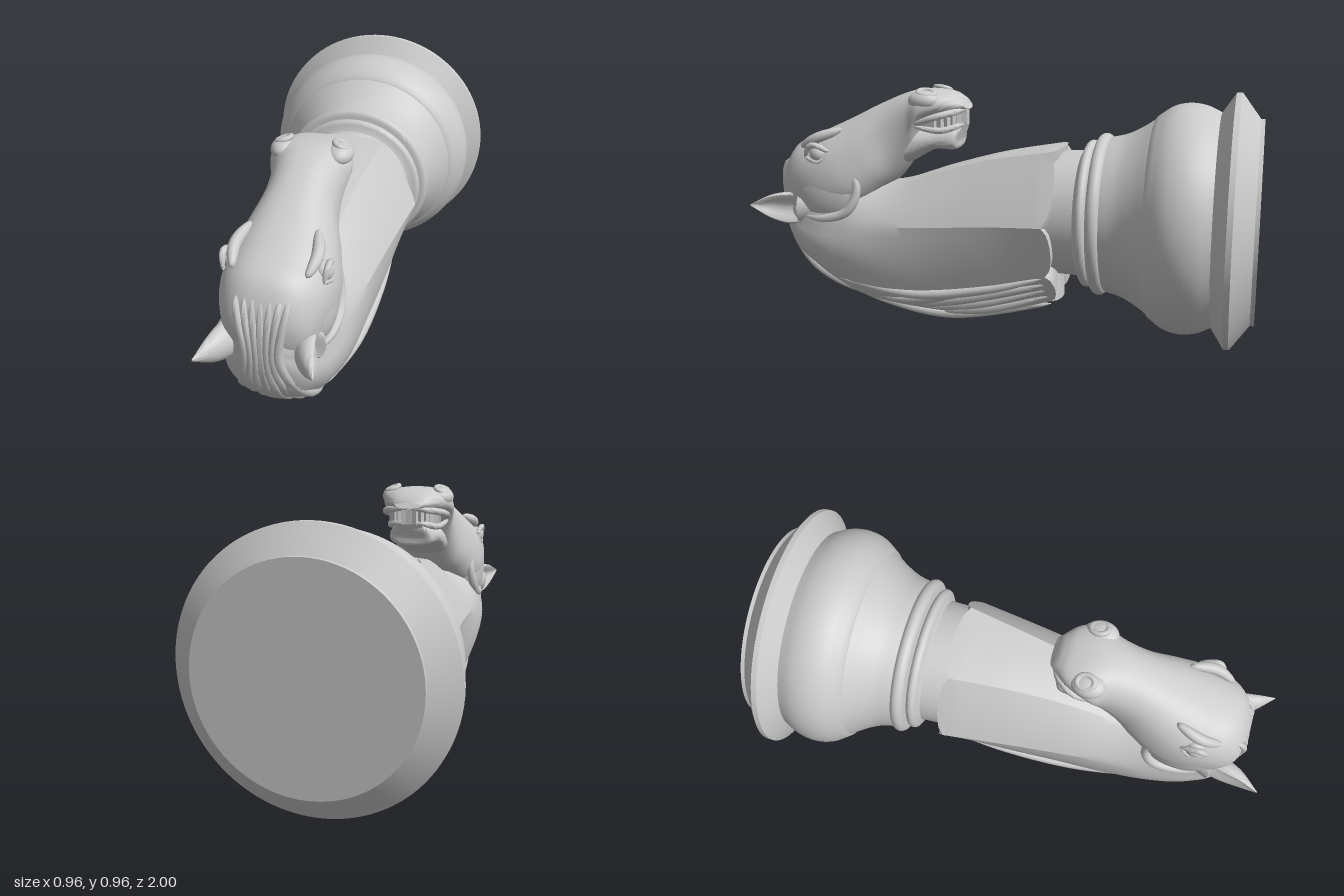
import * as THREE from 'three';
import { toCreasedNormals } from 'three/addons/utils/BufferGeometryUtils.js';

const grey = new THREE.MeshStandardMaterial({ color: 0xcccccc });
const V = (x, y, z) => new THREE.Vector3(x, y, z);

function add(group, name, geometry) {
  const mesh = new THREE.Mesh(geometry, grey);
  mesh.name = name;
  group.add(mesh);
  return mesh;
}

// Smooth interpolation of rows [t, a, b, c...]
function track(rows) {
  const f = new THREE.CubicInterpolant(rows.map(r => r[0]), rows.flatMap(r => r.slice(1)), rows[0].length - 1);
  return t => Array.from(f.evaluate(t));
}

// Closed skin over equal-sized rings, capped at both ends and turned outward
function loft(rings, crease = 0.6) {
  const n = rings[0].length, m = rings.length, pts = rings.flat(), index = [];
  for (let i = 0; i < m - 1; i++) for (let j = 0; j < n; j++) {
    const a = i * n + j, b = i * n + (j + 1) % n;
    index.push(a, b, b + n, a, b + n, a + n);
  }
  for (const [k, flip] of [[0, true], [m - 1, false]]) {
    const centre = V(0, 0, 0);
    rings[k].forEach(p => centre.addScaledVector(p, 1 / n));
    pts.push(centre);
    for (let j = 0; j < n; j++) {
      const a = k * n + j, b = k * n + (j + 1) % n;
      index.push(...(flip ? [b, a] : [a, b]), pts.length - 1);
    }
  }
  let volume = 0;
  for (let i = 0; i < index.length; i += 3)
    volume += pts[index[i]].dot(pts[index[i + 1]].clone().cross(pts[index[i + 2]]));
  if (volume < 0) index.reverse();
  const g = new THREE.BufferGeometry().setFromPoints(pts);
  g.setIndex(index);
  return toCreasedNormals(g, crease);
}

// Rounded strand tapering at both ends
function strand(points, radius, steps = 28) {
  const curve = new THREE.CatmullRomCurve3(points);
  const { normals, binormals } = curve.computeFrenetFrames(steps, false);
  const rings = [];
  for (let i = 0; i <= steps; i++) {
    const u = i / steps, r = radius * Math.max(0.04, Math.pow(Math.sin(Math.PI * u), 0.4));
    const c = curve.getPointAt(u);
    rings.push(Array.from({ length: 10 }, (_, j) => {
      const a = j * Math.PI / 5;
      return c.clone().addScaledVector(normals[i], r * Math.cos(a)).addScaledVector(binormals[i], r * Math.sin(a));
    }));
  }
  return loft(rings, 1.2);
}

// Rounded sections between an upper and a lower profile: rows [t, topZ, topY, botZ, botY, halfWidth]
function headLoft(rows, power) {
  const f = track(rows), rings = [], end = rows[rows.length - 1][0];
  for (let i = 0; i <= 50; i++) {
    const [tz, ty, bz, by, w] = f(end * i / 50);
    rings.push(Array.from({ length: 40 }, (_, j) => {
      const a = j * Math.PI / 20, s = Math.sin(a), c = Math.cos(a);
      const k = 0.5 + 0.5 * Math.sign(c) * Math.pow(Math.abs(c), power);
      const x = w * Math.sign(s) * Math.pow(Math.abs(s), power) * (1 - 0.1 * c);
      return V(x, by + (ty - by) * k, bz + (tz - bz) * k);
    }));
  }
  return loft(rings, 0.9);
}

// Neck rows: z, topW, topY, midW, midY, lowW, lowY, bottomY, edge bulge
const neckAt = track([
  [-0.23, 0.15, 0.735, 0.295, 0.475, 0.215, 0.27, 0.14, 0.02],
  [0, 0.12, 0.695, 0.265, 0.46, 0.205, 0.2, 0.075, 0.03],
  [0.2, 0.1, 0.64, 0.24, 0.44, 0.19, 0.165, 0.06, 0.04],
  [0.43, 0.09, 0.565, 0.215, 0.42, 0.175, 0.145, 0.07, 0.07],
  [0.6, 0.09, 0.56, 0.2, 0.4, 0.15, 0.17, 0.115, 0.12],
  [0.75, 0.09, 0.56, 0.175, 0.4, 0.13, 0.235, 0.19, 0.14],
  [0.86, 0.08, 0.55, 0.125, 0.43, 0.1, 0.33, 0.3, 0.14],
  [0.905, 0.04, 0.53, 0.06, 0.47, 0.05, 0.42, 0.4, 0.14],
]);

function neckGeometry() {
  const rings = [], sub = 8;
  for (let i = 0; i <= 50; i++) {
    const z = -0.23 + 1.135 * i / 50;
    const [tw, ty, mw, my, lw, ly, by, bulge] = neckAt(z);
    const half = [[lw * 0.45, by], [lw, ly], [mw, my], [tw, ty]];
    const corners = [...half, ...half.map(([x, y]) => [-x, y]).reverse()];
    const ring = [];
    corners.forEach(([x, y], k) => {
      const [x2, y2] = corners[(k + 1) % 8], dx = x2 - x, dy = y2 - y;
      for (let j = 0; j < sub; j++) {
        const u = j / sub, b = bulge * 4 * u * (1 - u);
        // scalloped hem at the foot of the neck
        const hem = i === 0 ? 0.03 * Math.sqrt(Math.sin(Math.PI * u)) : 0;
        ring.push(V(x + dx * u + dy * b, y + dy * u - dx * b, z - hem));
      }
    });
    rings.push(ring);
  }
  return loft(rings, 0.45);
}

// Point on the underside of the neck: u = 0 at the lower corner, 1 near the middle
function under(z, u, side) {
  const [, , , , lw, ly, by] = neckAt(z);
  return V(side * lw * (1 - 0.55 * u), ly + (by - ly) * u, z);
}

function earGeometry(side) {
  const f = track([[0, 0.125, 0.475, 0.74, 0.045], [0.4, 0.145, 0.465, 0.84, 0.06],
    [0.7, 0.165, 0.47, 0.92, 0.045], [1, 0.198, 0.478, 1, 0.003]]);
  const rings = [];
  for (let i = 0; i <= 20; i++) {
    const [x, y, z, r] = f(i / 20);
    rings.push(Array.from({ length: 24 }, (_, j) => {
      const a = j * Math.PI / 12, c = Math.cos(a);
      const hollow = c > 0 && i > 5 ? 1 - 1.1 * c * c : 1;
      return V(side * (x + r * c * hollow * 0.9), y + r * 1.1 * Math.sin(a), z);
    }));
  }
  return loft(rings, 0.8);
}

export function createModel() {
  const model = new THREE.Group();
  model.name = 'knightChessPiece';

  // Turned base lying along z
  const profile = [[0, -1], [0.385, -1], [0.385, -0.985], [0.48, -0.915], [0.48, -0.895], [0.405, -0.845]];
  const belly = new THREE.CatmullRomCurve3([[0.405, -0.845], [0.43, -0.79], [0.438, -0.73], [0.425, -0.67], [0.385, -0.61]].map(p => V(p[0], p[1], 0)));
  const waist = new THREE.CatmullRomCurve3([[0.375, -0.605], [0.345, -0.56], [0.315, -0.5], [0.3, -0.44]].map(p => V(p[0], p[1], 0)));
  for (const c of [belly, waist]) c.getPoints(14).forEach(p => profile.push([p.x, p.y]));
  for (const [r, z, h] of [[0.29, -0.415, 0.025], [0.262, -0.365, 0.02]])
    for (let i = 0; i <= 8; i++) profile.push([r + 0.024 * Math.sin(Math.PI * i / 8), z - h * Math.cos(Math.PI * i / 8)]);
  profile.push([0.245, -0.335], [0.24, -0.2], [0, -0.2]);
  const base = new THREE.LatheGeometry(profile.map(p => new THREE.Vector2(...p)), 96);
  base.rotateX(Math.PI / 2).translate(0, 0.48, 0);
  add(model, 'base', toCreasedNormals(base, 0.5));

  add(model, 'neck', neckGeometry());

  // Head and jaw
  add(model, 'head', headLoft([
    [0, 0.16, 0.925, 0.125, 0.875, 0.06], [0.1, 0.2, 0.942, 0.2, 0.858, 0.115],
    [0.2, 0.28, 0.95, 0.3, 0.82, 0.148], [0.3, 0.36, 0.94, 0.34, 0.72, 0.132],
    [0.45, 0.48, 0.893, 0.4, 0.62, 0.135], [0.6, 0.62, 0.825, 0.46, 0.555, 0.168],
    [0.75, 0.75, 0.765, 0.56, 0.47, 0.195], [0.9, 0.86, 0.705, 0.7, 0.42, 0.18],
    [1, 0.905, 0.6, 0.82, 0.41, 0.135], [1.06, 0.905, 0.52, 0.86, 0.42, 0.08]], 0.8));
  add(model, 'lowerJaw', headLoft([
    [0, 0.14, 0.822, 0.165, 0.75, 0.06], [0.3, 0.18, 0.812, 0.175, 0.715, 0.09],
    [0.6, 0.25, 0.795, 0.26, 0.712, 0.1], [1, 0.37, 0.79, 0.37, 0.655, 0.105]], 0.8));

  // Teeth around the front of the mouth
  const teeth = new THREE.Group();
  teeth.name = 'teeth';
  model.add(teeth);
  for (let i = -6; i <= 6; i++) {
    const a = i * 0.23, z = 0.27 - 0.125 * Math.cos(a);
    const tooth = add(teeth, 'tooth', new THREE.BoxGeometry(0.021, 0.06, 0.018));
    tooth.position.set(0.1 * Math.sin(a), 0.872 - 0.22 * z, z);
    tooth.rotation.y = a;
  }

  // Ribbed forelock running over the poll into the mane
  for (let i = -3; i <= 3; i++) {
    const s = i / 3, q = s * s * 0.03;
    add(model, 'forelockStrand', strand([
      V(s * 0.085, 0.705 - q, 0.83), V(s * 0.085, 0.64, 0.885), V(s * 0.055, 0.47, 0.9),
      V(s * 0.08, 0.32 + q, 0.86), V(s * 0.115, 0.2 + q, 0.755), V(s * 0.11, 0.115 + q, 0.6),
      V(s * 0.05, 0.068 + q, 0.42)], 0.02));
  }
  add(model, 'maneCrest', strand([0.5, 0.3, 0.1, -0.1, -0.22].map(z => V(0, neckAt(z)[6], z)), 0.018));

  // Mane locks as [z, u] paths on the underside
  const locks = [
    [[0.64, 0], [0.3, 0], [0, 0], [-0.22, 0.04]], [[0.32, 0.75], [0.1, 0.32], [-0.1, 0.22], [-0.23, 0.28]],
    [[0.28, 0.85], [0.05, 0.55], [-0.23, 0.5]], [[0.22, 1], [0, 0.8], [-0.23, 0.75]],
    [[0.55, 0.45], [0.35, 0.3], [0.12, 0.14]], [[0.6, 0.7], [0.45, 0.7], [0.2, 1.1], [-0.23, 1.1]],
  ];
  for (const side of [-1, 1]) {
    for (const path of locks) add(model, 'maneLock', strand(path.map(([z, u]) => under(z, u, side)), 0.02));

    add(model, 'ear', earGeometry(side));

    // Cheek with its raised rim
    const cheek = add(model, 'cheek', new THREE.SphereGeometry(1, 32, 20));
    cheek.scale.set(0.055, 0.13, 0.14);
    cheek.position.set(side * 0.14, 0.55, 0.68);
    add(model, 'cheekRim', strand([V(0.165, 0.65, 0.57), V(0.17, 0.56, 0.545), V(0.18, 0.47, 0.585),
      V(0.175, 0.435, 0.68), V(0.15, 0.44, 0.8)].map(p => V(side * p.x, p.y, p.z)), 0.02));

    // Eye, lids and brow
    const eye = add(model, 'eye', new THREE.SphereGeometry(0.036, 20, 14));
    eye.position.set(side * 0.155, 0.695, 0.71);
    for (const [lift, r, name] of [[0.034, 0.012, 'upperLid'], [-0.032, 0.01, 'lowerLid']])
      add(model, name, strand([V(side * 0.17, 0.68, 0.765), V(side * 0.178, 0.695 + lift, 0.715 + lift * 0.5),
        V(side * 0.172, 0.705, 0.655)], r, 16));
    add(model, 'brow', strand([V(side * 0.125, 0.715, 0.8), V(side * 0.14, 0.755, 0.72), V(side * 0.115, 0.79, 0.62)], 0.022));

    // Flared nostril
    const flare = add(model, 'nostrilFlare', new THREE.SphereGeometry(1, 24, 16));
    flare.scale.set(0.05, 0.04, 0.065);
    flare.position.set(side * 0.1, 0.91, 0.28);
    const rim = add(model, 'nostrilRim', new THREE.TorusGeometry(0.026, 0.01, 10, 24));
    rim.scale.set(1, 1.2, 1);
    rim.position.set(side * 0.105, 0.941, 0.27);
    rim.rotation.set(-Math.PI / 2 - 0.15, side * 0.35, 0);

    // Lips along the mouth opening
    add(model, 'upperLip', strand([V(0, 0.877, 0.135), V(side * 0.07, 0.868, 0.16), V(side * 0.125, 0.85, 0.23),
      V(side * 0.125, 0.82, 0.32)], 0.014));
    add(model, 'lowerLip', strand([V(0, 0.815, 0.145), V(side * 0.06, 0.81, 0.16), V(side * 0.1, 0.795, 0.22),
      V(side * 0.12, 0.81, 0.32)], 0.013));
  }
  return model;
}
